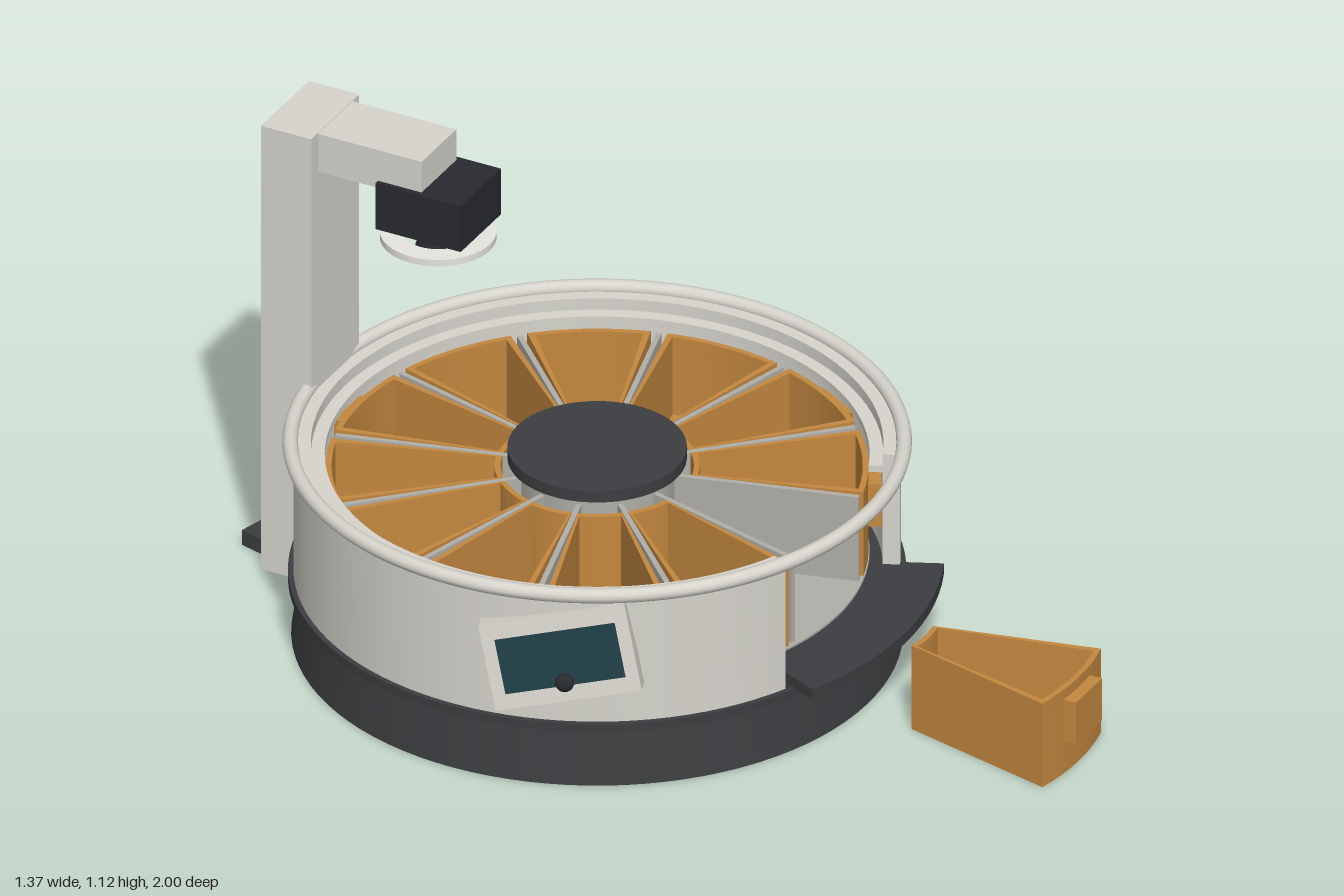
import * as THREE from 'three';
import { toCreasedNormals } from 'three/addons/utils/BufferGeometryUtils.js';

const rad = THREE.MathUtils.degToRad;
const paint = (color) => new THREE.MeshStandardMaterial({ color });
const shell = paint(0xd6d4cc), grey = paint(0xb0aea8), dark = paint(0x3c3d40), black = paint(0x292a2f);
const amber = paint(0xc4883f), teal = paint(0x1f3d44), gold = paint(0xc9a832);
const white = paint(0xe6e4de), blue = paint(0x6f7fa6);

function add(parent, name, geometry, material, x = 0, y = 0, z = 0) {
  const mesh = new THREE.Mesh(geometry, material);
  mesh.name = name;
  mesh.position.set(x, y, z);
  parent.add(mesh);
  return mesh;
}

function addGroup(parent, name, x = 0, y = 0, z = 0) {
  const group = new THREE.Group();
  group.name = name;
  group.position.set(x, y, z);
  parent.add(group);
  return group;
}

const box = (w, h, d) => new THREE.BoxGeometry(w, h, d);
const cyl = (r0, r1, h, n = 64) => new THREE.CylinderGeometry(r0, r1, h, n);
const lathe = (pts, n = 96) => toCreasedNormals(
  new THREE.LatheGeometry(pts.map(([x, y]) => new THREE.Vector2(x, y)), n), 0.5);

// Outline of a ring sector; angles in degrees from +z toward +x
function sectorPoints(r0, r1, a0, a1) {
  const n = Math.max(4, Math.ceil((a1 - a0) / 3.5));
  const arc = (r) => Array.from({ length: n + 1 }, (_, i) => {
    const a = rad(a0 + (a1 - a0) * i / n);
    return new THREE.Vector2(r * Math.sin(a), r * Math.cos(a));
  });
  return [...arc(r0), ...arc(r1).reverse()];
}

// Ring sector raised from y0 to y1, with an optional hole outline
function sector(r0, r1, a0, a1, y0, y1, hole) {
  const shape = new THREE.Shape(sectorPoints(r0, r1, a0, a1));
  if (hole) shape.holes.push(new THREE.Path(hole));
  const g = new THREE.ExtrudeGeometry(shape, { depth: y1 - y0, bevelEnabled: false });
  g.rotateX(Math.PI / 2).translate(0, y1, 0);
  return toCreasedNormals(g, 0.5);
}

// Open wedge bin with a raised pull on its outer face, pointing along +z
const binWalls = sector(0.21, 0.59, -13.2, 13.2, 0, 0.21, sectorPoints(0.223, 0.577, -11.8, 11.8));
const binFloor = sector(0.215, 0.585, -13, 13, 0.001, 0.015);
function addBin(parent, angle) {
  const bin = addGroup(parent, 'bin');
  bin.rotation.y = rad(angle);
  add(bin, 'binWalls', binWalls, amber);
  add(bin, 'binFloor', binFloor, amber);
  add(bin, 'binPull', box(0.12, 0.105, 0.04), amber, 0, 0.133, 0.597);
  return bin;
}

const pillGeometry = new THREE.CapsuleGeometry(0.018, 0.038, 6, 16).rotateZ(Math.PI / 2);
function addPill(parent, material, x, y, z, angle) {
  add(parent, 'pill', pillGeometry, material, x, y, z).rotation.y = rad(angle);
}

export function createModel() {
  const model = new THREE.Group();
  model.name = 'pillDispenser';
  const drum = addGroup(model, 'drum', 0, 0, -0.185);
  const open0 = -8.5, open1 = 38.5;

  // Base and housing with the delivery opening
  add(drum, 'base', lathe([[0, 0], [0.665, 0], [0.645, 0.138], [0.672, 0.138], [0.672, 0.158], [0, 0.158]]), dark);
  add(drum, 'housingWall', sector(0.622, 0.66, open1, open0 + 360, 0.155, 0.475), shell);
  add(drum, 'innerLedge', sector(0.592, 0.63, open1, open0 + 360, 0.43, 0.447), shell);
  add(drum, 'topRim', new THREE.TorusGeometry(0.667, 0.017, 12, 128).rotateX(Math.PI / 2), shell, 0, 0.479, 0);
  add(drum, 'openingSill', sector(0.58, 0.662, open0, open1, 0.15, 0.18), dark);
  add(drum, 'deliveryTray', sector(0.59, 0.755, open0, open1 + 1, 0.174, 0.2), dark);

  // Carousel: floor, hub and dividers
  add(drum, 'carouselFloor', cyl(0.592, 0.592, 0.05, 96), grey, 0, 0.18, 0);
  add(drum, 'hub', cyl(0.174, 0.174, 0.24), grey, 0, 0.32, 0);
  add(drum, 'hubCap', cyl(0.195, 0.195, 0.028), dark, 0, 0.452, 0);
  const carousel = addGroup(drum, 'carousel', 0, 0.208, 0);
  for (let i = 0; i < 12; i++) {
    const spoke = addGroup(carousel, 'divider');
    spoke.rotation.y = rad(30 * i);
    add(spoke, 'dividerWall', box(0.012, 0.21, 0.415), grey, 0, 0.105, 0.377);
    if (i > 0) addBin(carousel, 15 + 30 * i);
  }
  const sensor = addGroup(drum, 'sensor', 0, 0.325, 0);
  sensor.rotation.y = rad(15);
  add(sensor, 'sensorButton', cyl(0.022, 0.022, 0.02, 24).rotateX(Math.PI / 2), gold, 0, 0, 0.177);

  // Delivered bin in front of the opening
  const delivered = addBin(model, 15);
  delivered.name = 'deliveredBin';
  delivered.position.set(0.155, 0, 0.39);

  // Pills: colour, x, y, z, turn
  [
    [white, 0.22, 0.241, -0.45, 15], [blue, 0.34, 0.241, -0.475, 75],
    [blue, -0.42, 0.241, -0.34, 20], [white, -0.335, 0.241, -0.245, -40],
    [white, 0.33, 0.241, -0.13, -40], [blue, 0.415, 0.241, -0.035, 25],
    [blue, -0.34, 0.241, 0.1, 80], [white, -0.22, 0.241, 0.075, 15],
    [white, 0.273, 0.033, 0.72, 70], [blue, 0.232, 0.033, 0.84, -35],
  ].forEach((p) => addPill(model, ...p));

  // Column, arm and camera
  const stand = addGroup(drum, 'cameraStand');
  stand.rotation.y = rad(15);
  add(stand, 'column', box(0.22, 1.115, 0.124), shell, 0, 0.5585, -0.708);
  add(stand, 'arm', box(0.16, 0.095, 0.28), shell, 0, 1.067, -0.53);
  add(stand, 'cameraBody', box(0.185, 0.115, 0.21), black, 0, 0.98, -0.392);
  add(stand, 'lensBarrel', cyl(0.045, 0.045, 0.04, 32), black, 0, 0.908, -0.392);
  add(stand, 'lens', cyl(0.036, 0.05, 0.035, 32), black, 0, 0.882, -0.392);
  add(stand, 'lensGlass', cyl(0.03, 0.03, 0.006, 32), teal, 0, 0.863, -0.392);
  add(stand, 'ringLight', lathe([[0.08, 0.884], [0.127, 0.884], [0.127, 0.9], [0.08, 0.9], [0.08, 0.884]], 48),
    white, 0, 0, -0.392);
  add(model, 'rearPlug', box(0.15, 0.037, 0.09), dark, -0.185, 0.0215, -0.955);

  // Tilted control panel
  const panel = addGroup(model, 'controlPanel', -0.537, 0.33, 0.213);
  panel.rotation.set(rad(-15), rad(-52), 0);
  add(panel, 'panelFrame', box(0.325, 0.2, 0.05), shell);
  add(panel, 'screen', box(0.267, 0.127, 0.01), teal, 0, 0, 0.023);
  add(panel, 'knob', new THREE.SphereGeometry(0.021, 24, 16), black, 0, -0.055, 0.03);

  return model;
}
